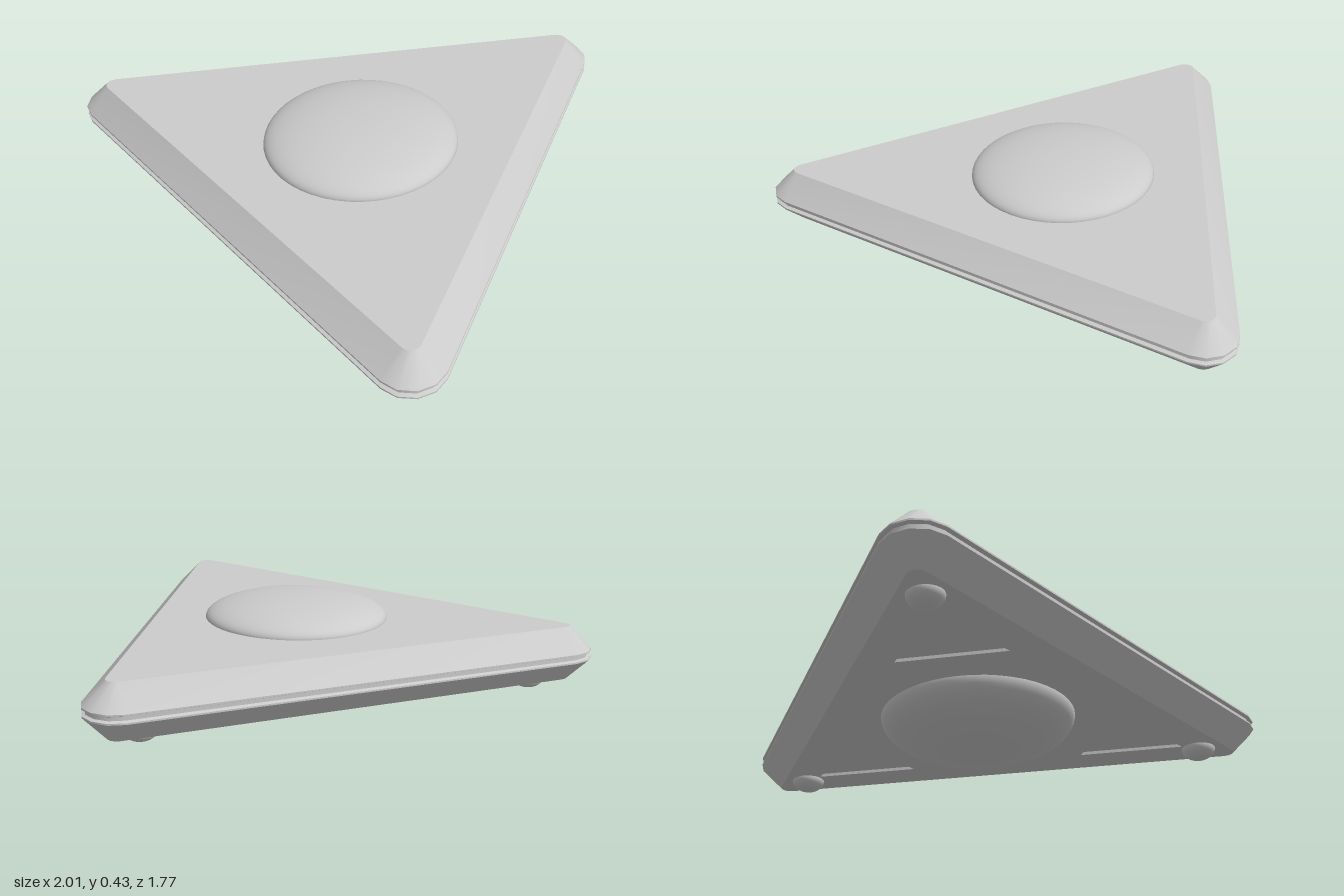
import * as THREE from 'three';
import { toCreasedNormals } from 'three/addons/utils/BufferGeometryUtils.js';

const CZ = 0.25;          // z of the triangle's centre
const CORNER = 1.02;      // centre to corner-arc centre
const BOTTOM = 0.135, TOP = 0.345;
const DIRS = [90, 210, 330].map(THREE.MathUtils.degToRad);
const material = new THREE.MeshStandardMaterial({ color: 0xcccccc });

// Point on the plan at distance d from the centre in direction a
const polar = (d, a) => [d * Math.cos(a), CZ - d * Math.sin(a)];

// Rounded triangle outline with corner radius r, as [x, z] points
function roundedTriangle(r) {
  const points = [];
  for (const dir of DIRS) {
    const [cx, cz] = polar(CORNER, dir);
    for (let i = 0; i <= 4; i++) {
      const a = dir + (i / 4 - 0.5) * Math.PI * 2 / 3;
      points.push([cx + r * Math.cos(a), cz - r * Math.sin(a)]);
    }
  }
  return points;
}

// Skin a stack of outlines and close the last one with a fan
function loft(rings, center) {
  const v = [];
  const n = rings[0].points.length;
  const at = (ring, i) => [ring.points[i % n][0], ring.y, ring.points[i % n][1]];
  for (let k = 0; k < rings.length - 1; k++) {
    const lo = rings[k], hi = rings[k + 1];
    for (let i = 0; i < n; i++) {
      v.push(...at(lo, i), ...at(lo, i + 1), ...at(hi, i + 1));
      v.push(...at(lo, i), ...at(hi, i + 1), ...at(hi, i));
    }
  }
  const last = rings[rings.length - 1];
  for (let i = 0; i < n; i++) {
    v.push(center[0], last.y, center[1], ...at(last, i), ...at(last, i + 1));
  }
  const geo = new THREE.BufferGeometry();
  geo.setAttribute('position', new THREE.Float32BufferAttribute(v, 3));
  return toCreasedNormals(geo, 0.6);
}

export function createModel() {
  const group = new THREE.Group();
  const add = (name, geo) => {
    const mesh = new THREE.Mesh(geo, material);
    mesh.name = name;
    group.add(mesh);
    return mesh;
  };

  // Bevelled body with a narrow seam around its waist: [corner radius, y]
  const profile = [
    [0.035, BOTTOM], [0.12, 0.222], [0.12, 0.228], [0.107, 0.233],
    [0.107, 0.247], [0.12, 0.252], [0.12, 0.258], [0.035, TOP],
  ];
  add('body', loft(profile.map(([r, y]) => ({ points: roundedTriangle(r), y })), [0, CZ]));

  // Underside with three shallow triangular pockets, all pointing to the back
  const toVectors = (pts) => pts.map(([x, z]) => new THREE.Vector2(x, z));
  const underside = new THREE.Shape(toVectors(roundedTriangle(0.035)));
  for (const dir of DIRS) {
    const [px, pz] = polar(0.61, dir);
    const points = DIRS.map((a) => [px + 0.225 * Math.cos(a), pz - 0.225 * Math.sin(a)]).reverse();
    underside.holes.push(new THREE.Path(toVectors(points)));
    add('undersidePocket', loft([{ points, y: BOTTOM }, { points, y: BOTTOM + 0.012 }], [px, pz]));
  }
  add('underside', new THREE.ShapeGeometry(underside).rotateX(Math.PI / 2).translate(0, BOTTOM, 0));

  // Shallow dome on top and a deeper one below
  const half = () => new THREE.SphereGeometry(1, 48, 16, 0, Math.PI * 2, 0, Math.PI / 2);
  const topDome = add('topDome', half());
  topDome.scale.set(0.355, 0.085, 0.355);
  topDome.position.set(0, TOP, CZ);
  const bottomDome = add('bottomDome', half().rotateX(Math.PI));
  bottomDome.scale.set(0.355, BOTTOM, 0.355);
  bottomDome.position.set(0, BOTTOM, CZ);

  // Small round feet near the corners
  for (const dir of DIRS) {
    const [x, z] = polar(0.907, dir);
    const foot = add('foot', half().rotateX(Math.PI));
    foot.scale.set(0.063, 0.043, 0.063);
    foot.position.set(x, BOTTOM, z);
  }
  return group;
}
